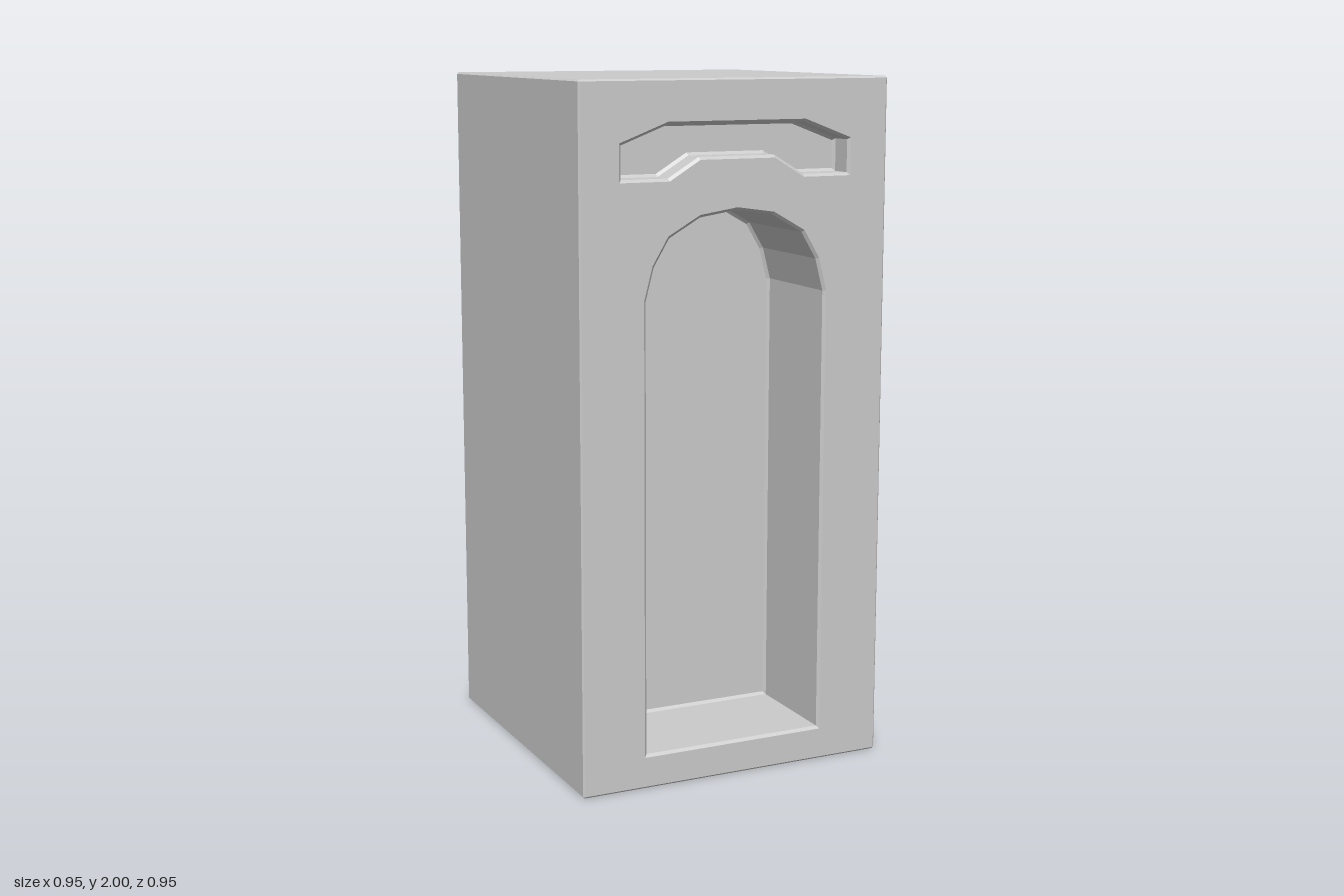
import * as THREE from 'three';

const HALF = 0.475, HEIGHT = 2, EDGE = 0.005, BEVEL = 0.008;
const CORE = HALF - EDGE;
const material = new THREE.MeshStandardMaterial({ color: 0xcccccc, flatShading: true, side: THREE.DoubleSide });

function addMesh(parent, name, geometry) {
  const mesh = new THREE.Mesh(geometry, material);
  mesh.name = name;
  parent.add(mesh);
  return mesh;
}

// Joins consecutive closed rings of Vector3 with quads; skip(ring, side) leaves gaps
function loft(rings, skip = () => false) {
  const pos = [];
  for (let r = 0; r < rings.length - 1; r++) {
    const n = rings[r].length;
    for (let i = 0; i < n; i++) {
      if (skip(r, i)) continue;
      const j = (i + 1) % n;
      const a = rings[r][i], b = rings[r][j], c = rings[r + 1][j], d = rings[r + 1][i];
      for (const v of [a, b, c, a, c, d]) pos.push(v.x, v.y, v.z);
    }
  }
  const g = new THREE.BufferGeometry();
  g.setAttribute('position', new THREE.Float32BufferAttribute(pos, 3));
  g.computeVertexNormals();
  return g;
}

// Mitred inward offset of a counter-clockwise outline
function inset(points, d) {
  const n = points.length;
  const normal = (a, b) => new THREE.Vector2(a.y - b.y, b.x - a.x).normalize();
  return points.map((p, i) => {
    const n1 = normal(points[(i + n - 1) % n], p);
    const n2 = normal(p, points[(i + 1) % n]);
    return p.clone().addScaledVector(n1.clone().add(n2), d / (1 + n1.dot(n2)));
  });
}

// Full counter-clockwise outline from its right half, listed bottom to top
function mirrored(half) {
  const right = half.map(([x, y]) => new THREE.Vector2(x, y));
  const left = right.filter((p) => p.x > 0).reverse().map((p) => new THREE.Vector2(-p.x, p.y));
  return [...right, ...left];
}

const archOutline = mirrored([
  [0.285, 0.092], [0.285, 1.4], [0.26, 1.495], [0.212, 1.575], [0.115, 1.63], [0, 1.647],
]);
const slotOutline = mirrored([
  [0.115, 1.78], [0.208, 1.724], [0.358, 1.724], [0.358, 1.83], [0.212, 1.885],
]);

// Recess with a chamfered mouth and a chamfered rear corner
function addRecess(parent, name, outline, depth) {
  const levels = [[0, 0], [BEVEL, BEVEL], [BEVEL, depth - BEVEL], [2 * BEVEL, depth]];
  const rings = levels.map(([d, z]) =>
    inset(outline, d).map((p) => new THREE.Vector3(p.x, p.y, HALF - z)));
  addMesh(parent, name + 'Walls', loft(rings));
  const back = new THREE.ShapeGeometry(new THREE.Shape(inset(outline, 2 * BEVEL)));
  addMesh(parent, name + 'Back', back).position.z = HALF - depth;
}

// Pierced panel with arched niche and handle slot behind it
function createFace(name) {
  const face = new THREE.Group();
  face.name = name;
  const shape = new THREE.Shape([
    new THREE.Vector2(-CORE, EDGE), new THREE.Vector2(CORE, EDGE),
    new THREE.Vector2(CORE, HEIGHT - EDGE), new THREE.Vector2(-CORE, HEIGHT - EDGE),
  ]);
  for (const outline of [archOutline, slotOutline]) shape.holes.push(new THREE.Path(outline));
  addMesh(face, 'panel', new THREE.ShapeGeometry(shape)).position.z = HALF;
  addRecess(face, 'niche', archOutline, 0.33);
  addRecess(face, 'handleSlot', slotOutline, 0.08);
  return face;
}

// Horizontal ring of the shell: side 0 is the front, side 4 the back
function shellRing(y, r) {
  const c = CORE;
  return [[-c, r], [c, r], [r, c], [r, -c], [c, -r], [-c, -r], [-r, -c], [-r, c]]
    .map(([x, z]) => new THREE.Vector3(x, y, z));
}

export function createModel() {
  const model = new THREE.Group();
  model.name = 'cabinet';

  // Hollow shell, open underneath, with fine chamfers on every edge
  const rings = [
    shellRing(0, CORE), shellRing(EDGE, HALF),
    shellRing(HEIGHT - EDGE, HALF), shellRing(HEIGHT, CORE),
  ];
  addMesh(model, 'shell', loft(rings, (r, i) => r === 1 && i % 4 === 0));
  const top = addMesh(model, 'top', new THREE.PlaneGeometry(2 * CORE, 2 * CORE));
  top.rotation.x = -Math.PI / 2;
  top.position.y = HEIGHT;

  // Matching front and back faces
  const back = createFace('backFace');
  back.rotation.y = Math.PI;
  model.add(createFace('frontFace'), back);
  return model;
}
